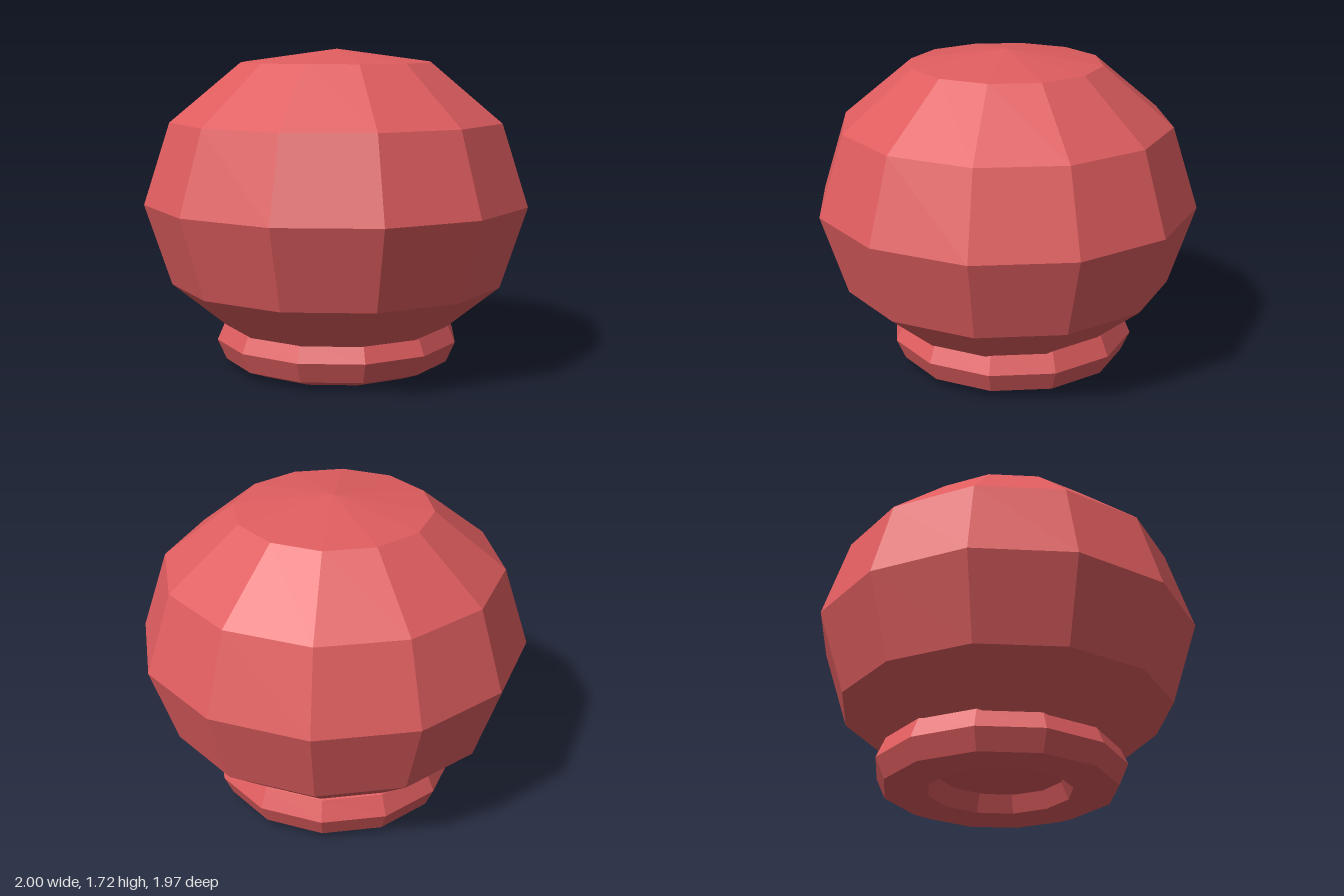
import * as THREE from 'three';

const SIDES = 12;
const APOTHEM = Math.cos(Math.PI / SIDES);

// Faceted turned solid; profile is [flat-to-centre distance, height], bottom to top
function turned(name, profile, material) {
  const points = profile.map(([r, y]) => new THREE.Vector2(r / APOTHEM, y));
  const geometry = new THREE.LatheGeometry(points, SIDES, Math.PI / SIDES).toNonIndexed();
  geometry.computeVertexNormals();
  const mesh = new THREE.Mesh(geometry, material);
  mesh.name = name;
  return mesh;
}

export function createModel() {
  const group = new THREE.Group();
  group.name = 'knob';
  const red = new THREE.MeshStandardMaterial({ color: 0xdf5d5f, flatShading: true });
  red.name = 'red';

  // Round bulb with slightly flattened poles
  const bulb = turned('bulb', [
    [0, 0.09], [0.5, 0.165], [0.865, 0.475], [1, 0.905],
    [0.865, 1.335], [0.5, 1.645], [0, 1.715],
  ], red);
  bulb.scale.z = 0.985;
  group.add(bulb);

  // Eight-sided ring under the bulb, set slightly back
  const ringProfile = [];
  for (let i = 0; i <= 8; i++) {
    const a = -Math.PI / 2 + (i * Math.PI) / 4;
    ringProfile.push([0.48 + 0.16 * Math.cos(a), 0.155 + 0.155 * Math.sin(a)]);
  }
  const ring = turned('baseRing', ringProfile, red);
  ring.position.z = -0.03;
  group.add(ring);

  return group;
}
